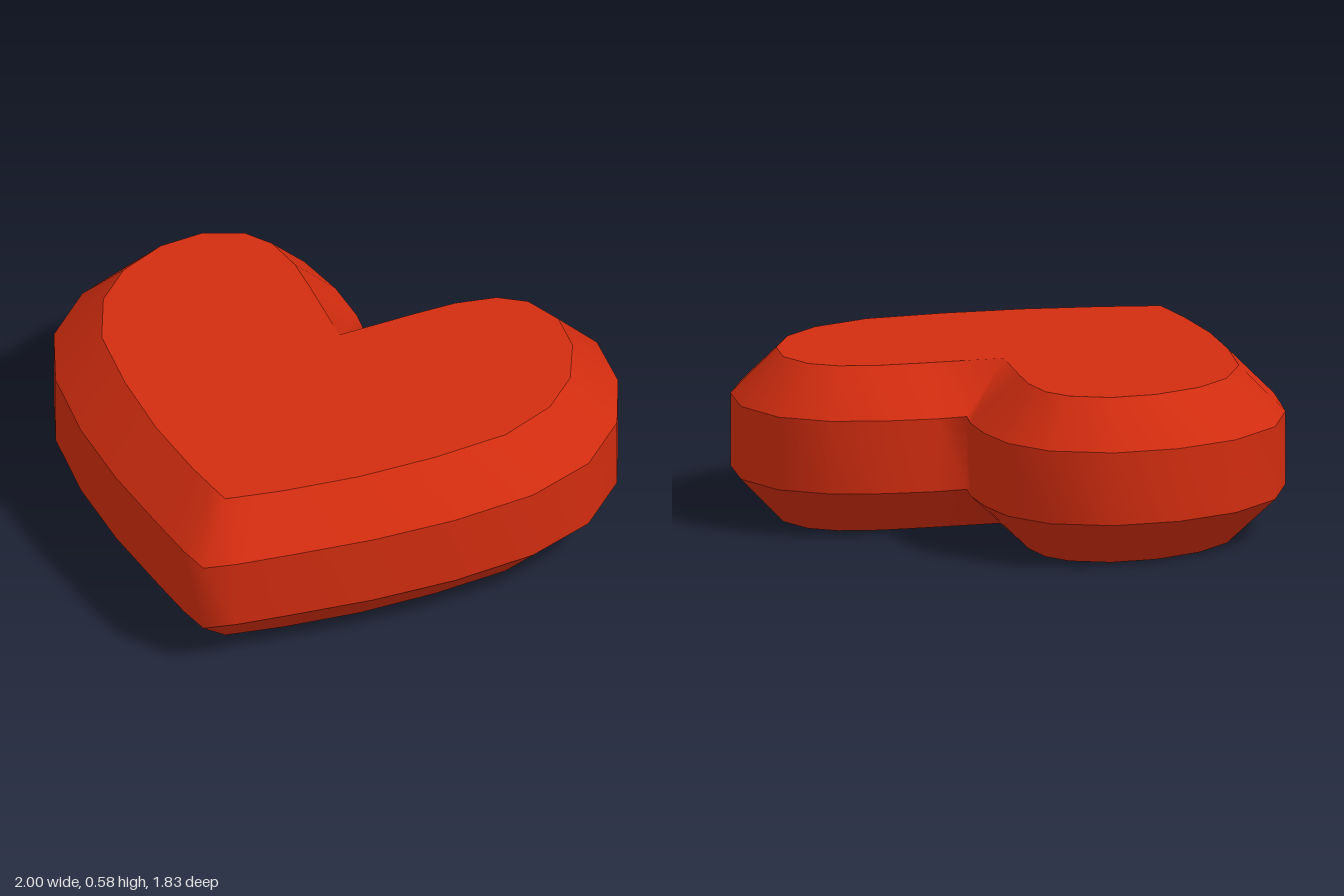
import * as THREE from 'three';

// Right half of each outline as [x, z], from the back cleft round to the front tip
const OUTER = [
  [0, -0.57], [0.07, -0.66], [0.2, -0.78], [0.36, -0.885], [0.55, -0.918], [0.757, -0.83], [0.91, -0.65],
  [1, -0.42], [1, -0.16], [0.893, 0.085], [0.7, 0.325], [0.48, 0.54], [0.25, 0.73], [0.1, 0.85], [0, 0.916],
];
const INNER = [
  [0, -0.325], [0.19, -0.535], [0.3, -0.65], [0.42, -0.735], [0.53, -0.755], [0.665, -0.7], [0.77, -0.575],
  [0.835, -0.395], [0.835, -0.21], [0.755, 0], [0.58, 0.215], [0.38, 0.42], [0.17, 0.595], [0.08, 0.66], [0, 0.717],
];

// Closes a half outline by mirroring it across x = 0
const mirrored = (half) => [...half, ...half.slice(1, -1).reverse().map(([x, z]) => [-x, z])];

// Smooth closed band between two outlines at heights y0 and y1
function band(lower, upper, y0, y1) {
  const n = lower.length;
  const positions = [];
  const index = [];
  lower.forEach(([x, z]) => positions.push(x, y0, z));
  upper.forEach(([x, z]) => positions.push(x, y1, z));
  for (let i = 0; i < n; i++) {
    const j = (i + 1) % n;
    index.push(i, n + i, n + j, i, n + j, j);
  }
  const geometry = new THREE.BufferGeometry();
  geometry.setAttribute('position', new THREE.Float32BufferAttribute(positions, 3));
  geometry.setIndex(index);
  geometry.computeVertexNormals();
  return geometry;
}

// Flat heart face at height y; dir 1 faces up, -1 faces down
function cap(outline, y, dir) {
  const shape = new THREE.Shape(outline.map(([x, z]) => new THREE.Vector2(x, -dir * z)));
  return new THREE.ShapeGeometry(shape).rotateX(-dir * Math.PI / 2).translate(0, y, 0);
}

export function createModel() {
  const group = new THREE.Group();
  group.name = 'heart';
  const red = new THREE.MeshStandardMaterial({ color: 0xd12c0f });
  const add = (name, geometry) => {
    const mesh = new THREE.Mesh(geometry, red);
    mesh.name = name;
    group.add(mesh);
  };

  const outer = mirrored(OUTER);
  const inner = mirrored(INNER);
  const [bottom, low, high, top] = [0, 0.163, 0.42, 0.583];

  add('bottomFace', cap(inner, bottom, -1));
  add('lowerBevel', band(inner, outer, bottom, low));
  add('sideWall', band(outer, outer, low, high));
  add('upperBevel', band(outer, inner, high, top));
  add('topFace', cap(inner, top, 1));
  return group;
}
